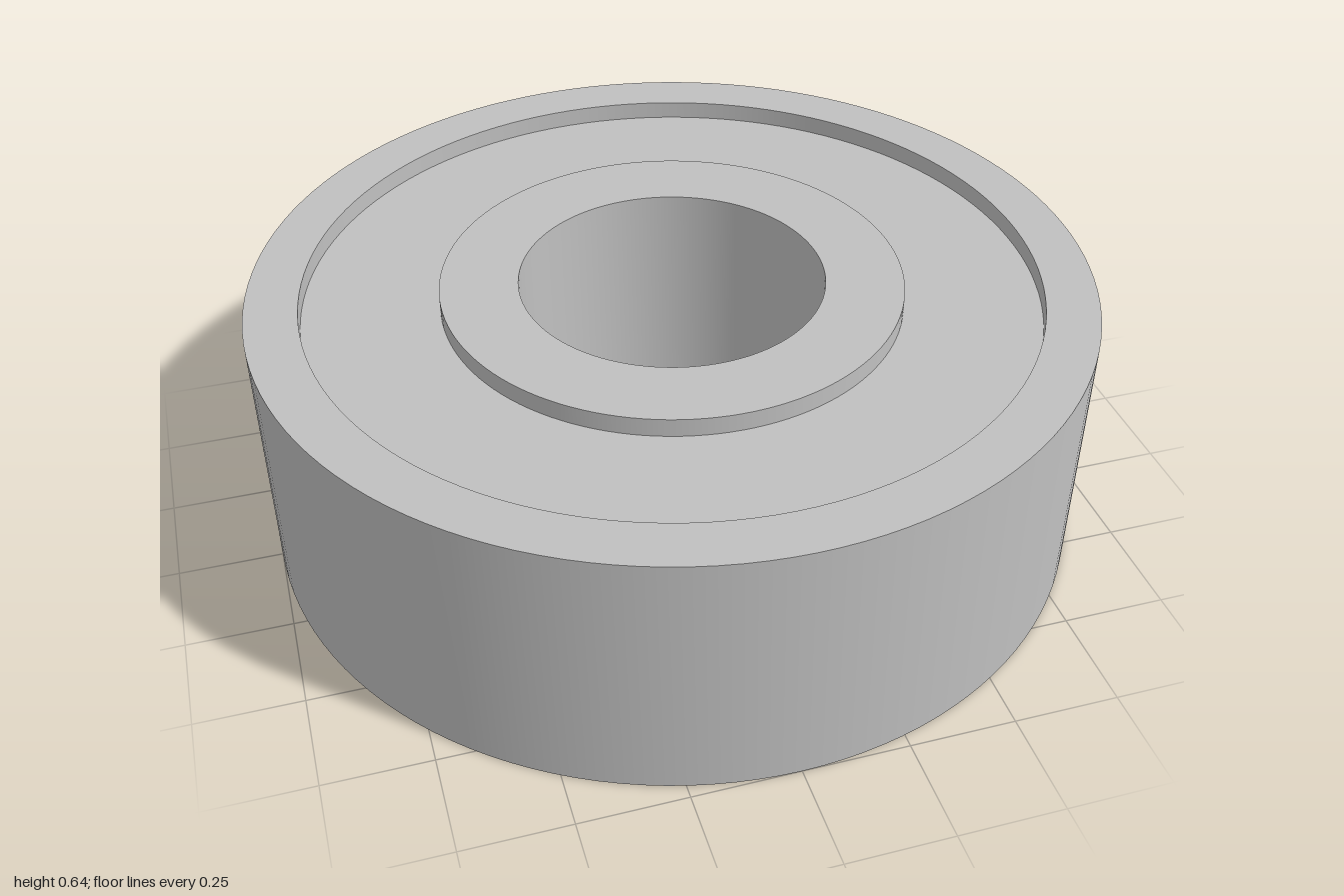
import * as THREE from 'three';
import { toCreasedNormals } from 'three/addons/utils/BufferGeometryUtils.js';

const HEIGHT = 0.636;
const RECESS = 0.045; // depth of the shield below each ring face
const BORE = 0.364, HUB = 0.55, RIM = 0.875, OUTER = 1;

// Ring of rectangular section, profile running counter-clockwise
function ring(name, inner, outer, bottom, top, material) {
  const profile = [
    [inner, bottom], [outer, bottom], [outer, top], [inner, top], [inner, bottom],
  ].map(([r, y]) => new THREE.Vector2(r, y));
  const geometry = toCreasedNormals(new THREE.LatheGeometry(profile, 128), Math.PI / 6);
  const mesh = new THREE.Mesh(geometry, material);
  mesh.name = name;
  return mesh;
}

export function createModel() {
  const steel = new THREE.MeshStandardMaterial({ color: 0xc0c0c0 });
  steel.name = 'steel grey';

  const group = new THREE.Group();
  group.name = 'ballBearing';
  group.add(
    ring('outerRace', RIM, OUTER, 0, HEIGHT, steel),
    ring('innerRace', BORE, HUB, 0, HEIGHT, steel),
    // Recessed shield closing the gap between the races on both faces
    ring('shield', HUB, RIM, RECESS, HEIGHT - RECESS, steel),
  );
  return group;
}
